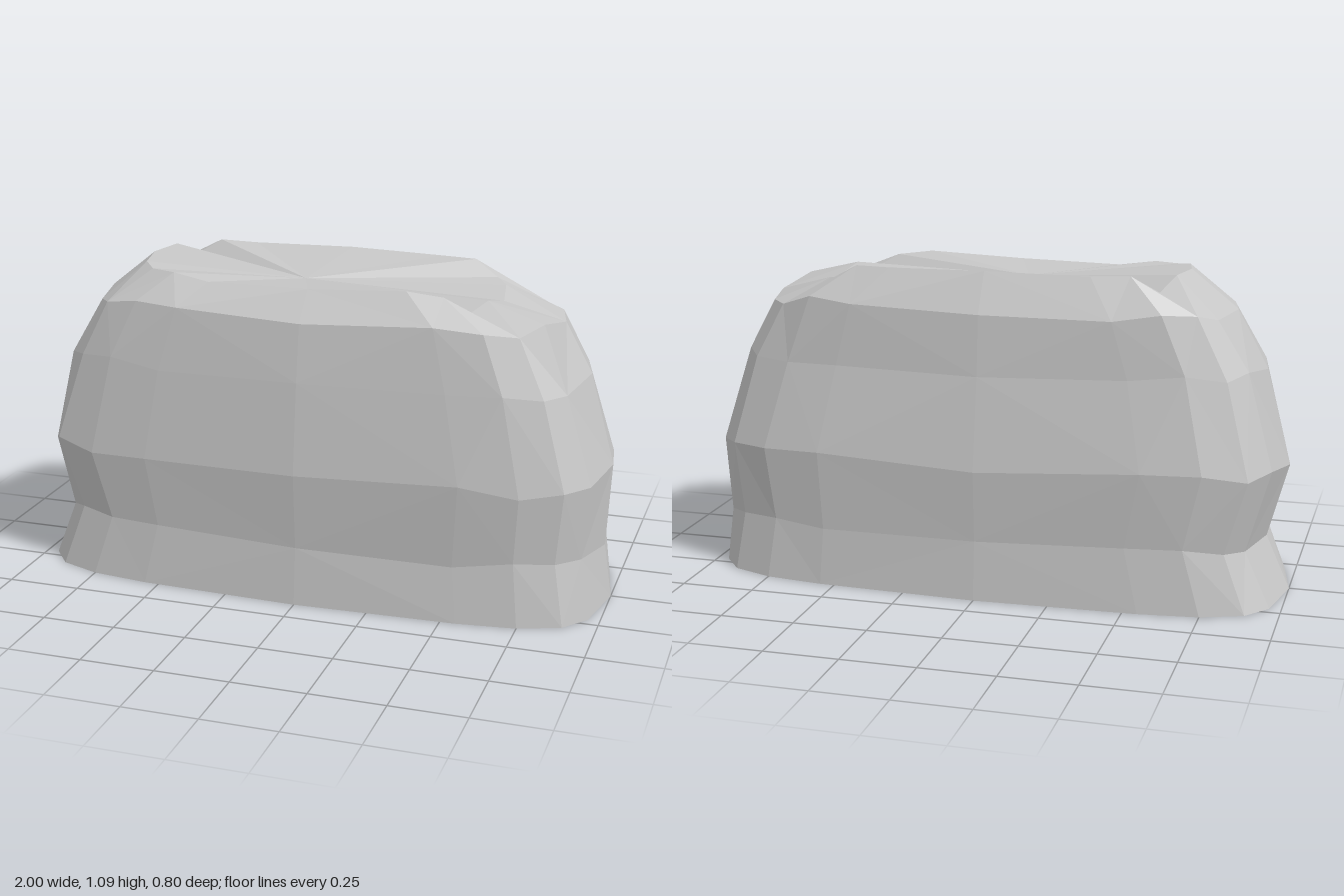
import * as THREE from 'three';

// Quarter outline of the boulder, unit size, from the end (+x) to the front (+z)
const QUARTER = [[1, 0], [0.96, 0.54], [0.89, 0.76], [0.75, 0.89], [0.55, 0.95], [0, 1]];

// Full outline of 20 points, mirrored from the quarter
const OUTLINE = [
  ...QUARTER,
  ...QUARTER.slice(0, 5).reverse().map(([x, z]) => [-x, z]),
  ...QUARTER.slice(1).map(([x, z]) => [-x, -z]),
  ...QUARTER.slice(1, 5).reverse().map(([x, z]) => [x, -z]),
];
const N = OUTLINE.length;

// Each level: height, reach to -x, +x, +z, -z
const LEVELS = [
  [0, 1, 1, 0.4, 0.4],
  [0.2, 0.925, 0.98, 0.382, 0.388],
  [0.455, 1, 1, 0.4, 0.4],
  [0.77, 0.915, 0.91, 0.365, 0.348],
  [0.96, 0.8, 0.81, 0.332, 0.332],
  [1.05, 0.64, 0.6, 0.24, 0.255],
];

// Uneven height of the top rim, with notches
const RIM = [
  1.0, 1.03, 1.0, 1.05, 1.065, 1.05, 1.045, 1.065, 1.065, 1.075,
  1.08, 1.08, 1.03, 1.085, 1.08, 1.085, 1.08, 1.08, 1.03, 1.02,
];

function seeded(seed) {
  return () => {
    seed = (seed * 16807) % 2147483647;
    return seed / 2147483647 - 0.5;
  };
}

function boulderGeometry() {
  const rand = seeded(41);
  const top = LEVELS.length - 1;
  const rings = LEVELS.map(([y, left, right, front, back], i) =>
    OUTLINE.map(([x, z], k) => {
      const wobble = i === 0 || i === top ? 0 : 0.04;
      const height = i === top ? RIM[k] : y + rand() * wobble;
      const inset = 1 - Math.abs(rand()) * wobble;
      return [x * (x < 0 ? left : right) * inset, height, z * (z > 0 ? front : back) * inset];
    }));

  const pos = [];
  const tri = (a, b, c) => pos.push(...a, ...b, ...c);
  const hollow = [-0.08, 1.03, 0.02];
  const base = [0, 0, 0];
  for (let k = 0; k < N; k++) {
    const n = (k + 1) % N;
    // Faceted sides, with diagonals that change direction
    for (let i = 0; i < top; i++) {
      const a = rings[i][k], b = rings[i][n], c = rings[i + 1][n], d = rings[i + 1][k];
      if ((i + k) % 2) { tri(b, a, d); tri(b, d, c); }
      else { tri(b, a, c); tri(a, d, c); }
    }
    // Sunken top fan and flat underside
    tri(hollow, rings[top][n], rings[top][k]);
    tri(base, rings[0][k], rings[0][n]);
  }
  const geo = new THREE.BufferGeometry();
  geo.setAttribute('position', new THREE.Float32BufferAttribute(pos, 3));
  geo.computeVertexNormals();
  return geo;
}

export function createModel() {
  const group = new THREE.Group();
  group.name = 'rock';
  const stone = new THREE.MeshStandardMaterial({ color: 0xc6c6c6, flatShading: true });
  stone.name = 'stone grey';
  const boulder = new THREE.Mesh(boulderGeometry(), stone);
  boulder.name = 'boulder';
  group.add(boulder);
  return group;
}
